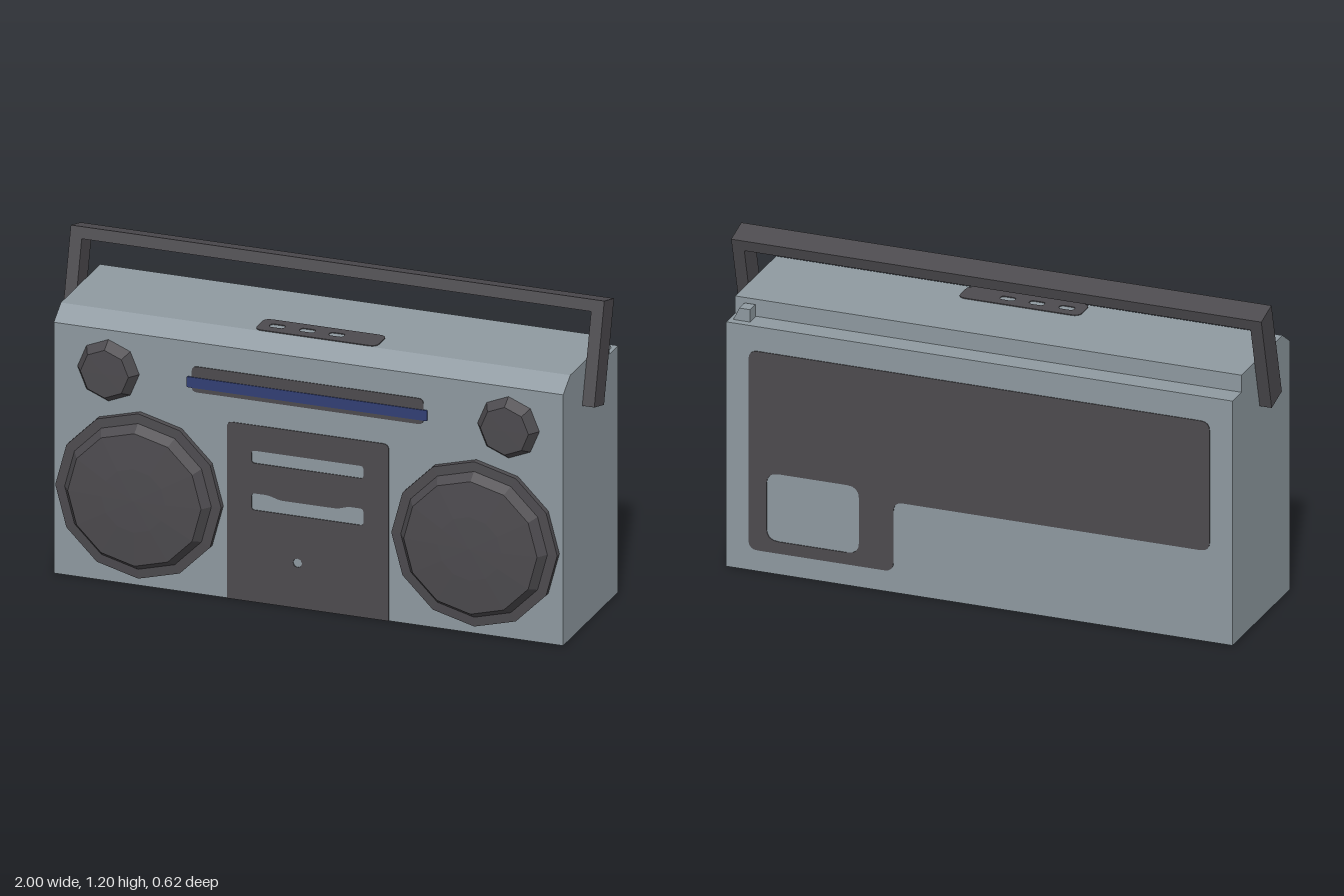
import * as THREE from 'three';

const shell = new THREE.MeshStandardMaterial({ color: 0x8f9aa1 });
shell.name = 'grey shell';
const dark = new THREE.MeshStandardMaterial({ color: 0x4d4b4f });
dark.name = 'charcoal';
const blue = new THREE.MeshStandardMaterial({ color: 0x323f75 });
blue.name = 'dial blue';

const FRONT = 0.235, BACK = -0.305, TOP = 0.995, HALF = 0.955;

function mesh(name, geometry, material) {
  const m = new THREE.Mesh(geometry, material);
  m.name = name;
  return m;
}

// Closed outline with every corner rounded by r
function outline(path, pts, r = 0) {
  const v = pts.map(([x, y]) => new THREE.Vector2(x, y));
  v.forEach((p, i) => {
    const prev = v[(i + v.length - 1) % v.length], next = v[(i + 1) % v.length];
    const toward = (q) => p.clone().add(q.clone().sub(p).setLength(Math.min(r, p.distanceTo(q) * 0.45)));
    const a = toward(prev), b = toward(next);
    if (i === 0) path.moveTo(a.x, a.y); else path.lineTo(a.x, a.y);
    if (r > 0) path.quadraticCurveTo(p.x, p.y, b.x, b.y);
  });
  path.closePath();
  return path;
}

const rect = (x0, y0, x1, y1) => [[x0, y0], [x1, y0], [x1, y1], [x0, y1]];

function extrude(shape, depth) {
  return new THREE.ExtrudeGeometry(shape, { depth, bevelEnabled: false, curveSegments: 4 });
}

// Prism running along x from a (z, y) profile
function prismX(profile, x0, x1) {
  const shape = outline(new THREE.Shape(), profile.map(([z, y]) => [-z, y]));
  return extrude(shape, x1 - x0).rotateY(Math.PI / 2).translate(x0, 0, 0);
}

// Faceted turned part that faces +z
function turned(profile, sides) {
  const pts = profile.map(([r, z]) => new THREE.Vector2(r, z));
  const g = new THREE.LatheGeometry(pts, sides).rotateX(Math.PI / 2).toNonIndexed();
  g.computeVertexNormals();
  return g;
}

export function createModel() {
  const model = new THREE.Group();
  model.name = 'portableStereo';

  // Case with chamfered front edge and rear step
  model.add(mesh('case', prismX([
    [FRONT, 0], [FRONT, 0.947], [0.165, TOP], [-0.22, TOP],
    [-0.22, 0.93], [BACK, 0.93], [BACK, 0],
  ], -HALF, HALF), shell));

  // Carrying handle, leaning back
  const handleShape = outline(new THREE.Shape(), [
    [-1, -0.189], [-HALF, -0.189], [-HALF, 0.146], [HALF, 0.146],
    [HALF, -0.189], [1, -0.189], [1, 0.189], [-1, 0.189],
  ]);
  const handle = mesh('handle', extrude(handleShape, 0.099).translate(0, 0, -0.0495), dark);
  handle.position.set(0, 1.005, -0.049);
  handle.rotation.x = -0.262;
  model.add(handle);

  // Speakers and knobs, mirrored
  for (const [side, s] of [['left', 1], ['right', -1]]) {
    const speaker = mesh(side + 'Speaker', turned([
      [0.311, 0], [0.311, 0.022], [0.275, 0.024], [0.25, 0.06], [0.12, 0.07], [0, 0.073],
    ], 12), dark);
    speaker.position.set(s * 0.63, 0.345, FRONT);
    const knob = mesh(side + 'Knob', turned([[0.116, 0], [0.09, 0.04], [0, 0.041]], 8), dark);
    knob.position.set(s * 0.75, 0.795, FRONT);
    model.add(speaker, knob);
  }

  // Cassette panel with two slots and a small hole
  const deck = new THREE.Shape();
  deck.moveTo(-0.305, 0).lineTo(0.302, 0).lineTo(0.302, 0.645);
  deck.quadraticCurveTo(0.302, 0.667, 0.28, 0.667).lineTo(-0.283, 0.667);
  deck.quadraticCurveTo(-0.305, 0.667, -0.305, 0.645).closePath();
  deck.holes.push(
    outline(new THREE.Path(), rect(-0.212, 0.524, 0.207, 0.571), 0.012),
    outline(new THREE.Path(), [
      [-0.212, 0.347], [0.207, 0.347], [0.207, 0.41], [0.15, 0.41],
      [0.11, 0.397], [-0.105, 0.397], [-0.15, 0.41], [-0.212, 0.41],
    ], 0.012),
    new THREE.Path().absarc(-0.04, 0.17, 0.017, 0, Math.PI * 2),
  );
  model.add(mesh('cassettePanel', extrude(deck, 0.003).translate(0, 0, FRONT), dark));

  // Tuner dial
  const dial = outline(new THREE.Shape(), rect(-0.437, 0.76, 0.432, 0.857), 0.02);
  model.add(mesh('tunerDial', extrude(dial, 0.003).translate(0, 0, FRONT), dark));
  const strip = outline(new THREE.Shape(), rect(-0.455, 0.776, 0.447, 0.816), 0.006);
  model.add(mesh('tunerStrip', extrude(strip, 0.006).translate(0, 0, FRONT), blue));

  // Top control plate with three windows
  const controls = outline(new THREE.Shape(), rect(-0.232, -0.162, 0.227, -0.055), 0.03);
  for (const x of [-0.165, -0.052, 0.058]) {
    controls.holes.push(outline(new THREE.Path(), rect(x - 0.028, -0.123, x + 0.028, -0.093), 0.013));
  }
  model.add(mesh('topControls', extrude(controls, 0.003).rotateX(-Math.PI / 2).translate(0, TOP, 0), dark));

  // Stepped rear panel with a window
  const rear = outline(new THREE.Shape(), [
    [-0.87, 0.08], [-0.323, 0.08], [-0.323, 0.345], [0.87, 0.345], [0.87, 0.837], [-0.87, 0.837],
  ], 0.035);
  rear.holes.push(outline(new THREE.Path(), rect(-0.802, 0.125, -0.453, 0.382), 0.045));
  model.add(mesh('rearPanel', extrude(rear, 0.003).rotateY(Math.PI).translate(0, 0, BACK), dark));

  // Wedge button on the rear step
  const wedge = outline(new THREE.Shape(), [[0.877, 0.93], [0.94, 0.93], [0.917, 0.977], [0.877, 0.977]]);
  model.add(mesh('rearButton', extrude(wedge, 0.05).translate(0, 0, -0.276), shell));

  return model;
}
